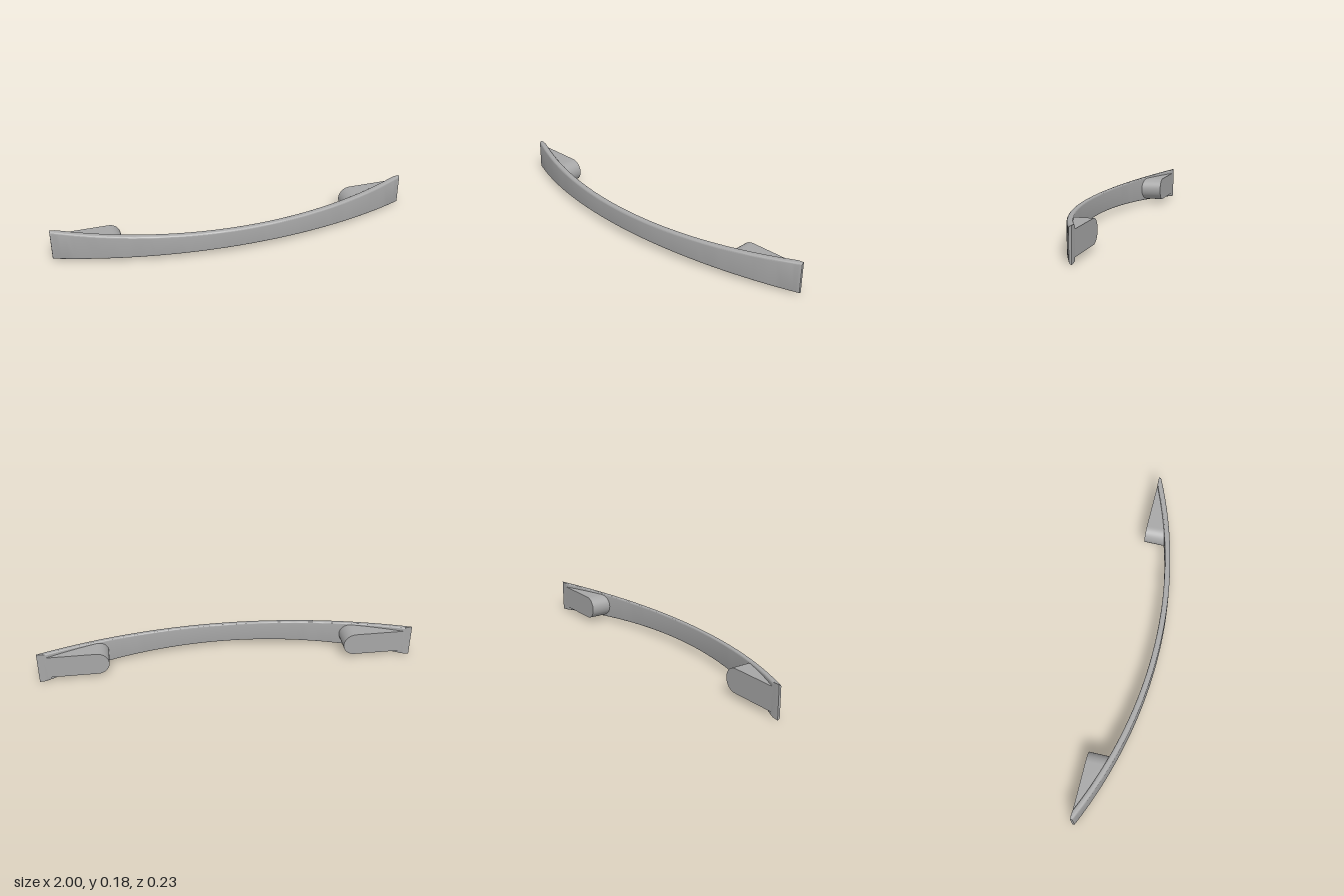
import * as THREE from 'three';
import { toCreasedNormals } from 'three/addons/utils/BufferGeometryUtils.js';

const MID_Y = 0.086, BACK = -0.115, ARC_Z = -2.295, R_OUT = 2.41, R_IN = 2.38;
const arcZ = (x, r) => ARC_Z + Math.sqrt(r * r - x * x);
// The bar flares evenly from its bowed middle to the mounting plane
const halfHeight = z => 0.0695 - z * 0.144;

// Rounded cross-section at x, counter-clockwise seen from +x, cut flat at the back plane
function barSection(x) {
  const zo = arcZ(x, R_OUT), half = (zo - arcZ(x, R_IN)) / 2, r = 0.01, steps = 6;
  const pts = [];
  for (let q = 0; q < 4; q++) {
    const su = q === 0 || q === 3 ? 1 : -1, sv = q < 2 ? 1 : -1;
    for (let k = 0; k <= steps; k++) {
      const a = (q + k / steps) * Math.PI / 2;
      const z = zo - half - su * (half - r) - r * Math.cos(a);
      const y = MID_Y + sv * (halfHeight(z) - r) + r * Math.sin(a);
      pts.push([x, y, Math.max(z, BACK)]);
    }
  }
  return pts;
}

function barGeometry() {
  const flat = Math.sqrt(R_IN ** 2 - (BACK - ARC_Z) ** 2); // where the inner arc meets the back plane
  const xs = [-1, -0.985, -0.97];
  const n = 56;
  for (let i = 0; i <= n; i++) xs.push(-flat + 2 * flat * i / n);
  xs.push(0.97, 0.985, 1);

  const rings = xs.map(barSection), count = rings[0].length;
  const pos = rings.flat(2), index = [];
  for (let s = 0; s < rings.length - 1; s++) {
    for (let i = 0; i < count; i++) {
      const j = (i + 1) % count;
      const a = s * count + i, d = s * count + j, b = a + count, c = d + count;
      index.push(a, d, c, a, c, b);
    }
  }
  // End caps
  const last = (rings.length - 1) * count;
  for (let i = 1; i < count - 1; i++) {
    index.push(0, i + 1, i, last, last + i, last + i + 1);
  }
  const geo = new THREE.BufferGeometry();
  geo.setAttribute('position', new THREE.Float32BufferAttribute(pos, 3));
  geo.setIndex(index);
  return toCreasedNormals(geo, 0.35);
}

// Mounting foot: round-ended block whose front follows the bar's arc
function footGeometry(side) {
  const r = 0.063, inner = 0.63, outer = 0.955, shape = new THREE.Shape();
  shape.moveTo(side * outer, MID_Y - r);
  shape.lineTo(side * outer, MID_Y + r);
  for (let i = 0; i <= 20; i++) {
    const a = Math.PI / 2 + Math.PI * i / 20;
    shape.lineTo(side * (inner + r + r * Math.cos(a)), MID_Y + r * Math.sin(a));
  }
  const geo = new THREE.ExtrudeGeometry(shape, { depth: 1, bevelEnabled: false });
  const p = geo.attributes.position;
  for (let i = 0; i < p.count; i++) {
    p.setZ(i, p.getZ(i) > 0.5 ? arcZ(p.getX(i), (R_IN + R_OUT) / 2) : BACK);
  }
  return toCreasedNormals(geo, 0.35);
}

export function createModel() {
  const metal = new THREE.MeshStandardMaterial({ color: 0xa6a6a6 });
  metal.name = 'greyMetal';
  const group = new THREE.Group();
  group.name = 'pullHandle';
  const add = (name, geo) => {
    const mesh = new THREE.Mesh(geo, metal);
    mesh.name = name;
    group.add(mesh);
  };
  add('bowedBar', barGeometry());
  add('leftFoot', footGeometry(1));
  add('rightFoot', footGeometry(-1));
  return group;
}
